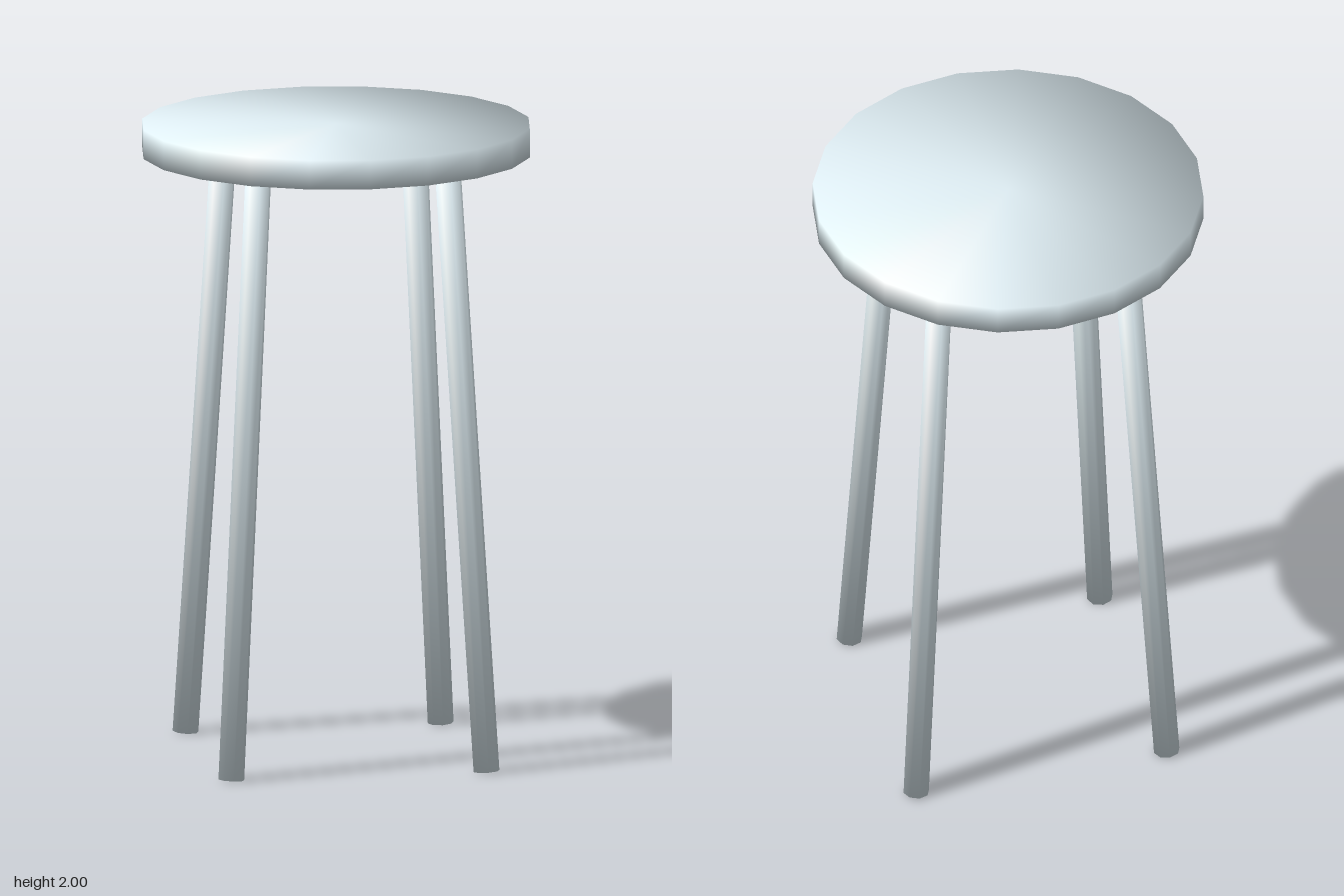
import * as THREE from 'three';

const material = new THREE.MeshStandardMaterial({ color: 0xe0eff5 });

// Cylinder shaded as one soft solid: rim normals lean outward as well as up or down
function softCylinder(radius, height, sides, lean) {
  const geometry = new THREE.CylinderGeometry(radius, radius, height, sides);
  const { position, normal } = geometry.attributes;
  const n = new THREE.Vector3();
  for (let i = 0; i < position.count; i++) {
    n.fromBufferAttribute(position, i);
    n.set(n.x / radius * lean, Math.sign(n.y), n.z / radius * lean).normalize();
    normal.setXYZ(i, n.x, n.y, n.z);
  }
  return geometry;
}

export function createModel() {
  const stool = new THREE.Group();
  stool.name = 'stool';

  // Round seat
  const seat = new THREE.Mesh(softCylinder(0.611, 0.092, 20, 1.08), material);
  seat.name = 'seat';
  seat.position.y = 1.954;
  stool.add(seat);

  // Four splayed legs, ending just below the seat
  const up = new THREE.Vector3(0, 1, 0);
  for (const [sx, sz] of [[1, 1], [-1, 1], [1, -1], [-1, -1]]) {
    const foot = new THREE.Vector3(sx * 0.405, 0.003, sz * 0.405);
    const head = new THREE.Vector3(sx * 0.301, 1.898, sz * 0.301);
    const axis = head.clone().sub(foot);
    const leg = new THREE.Mesh(softCylinder(0.041, axis.length(), 8, 1.23), material);
    leg.name = (sz > 0 ? 'front' : 'back') + (sx > 0 ? 'Left' : 'Right') + 'Leg';
    leg.position.copy(foot).add(head).multiplyScalar(0.5);
    leg.quaternion.setFromUnitVectors(up, axis.normalize());
    stool.add(leg);
  }
  return stool;
}
